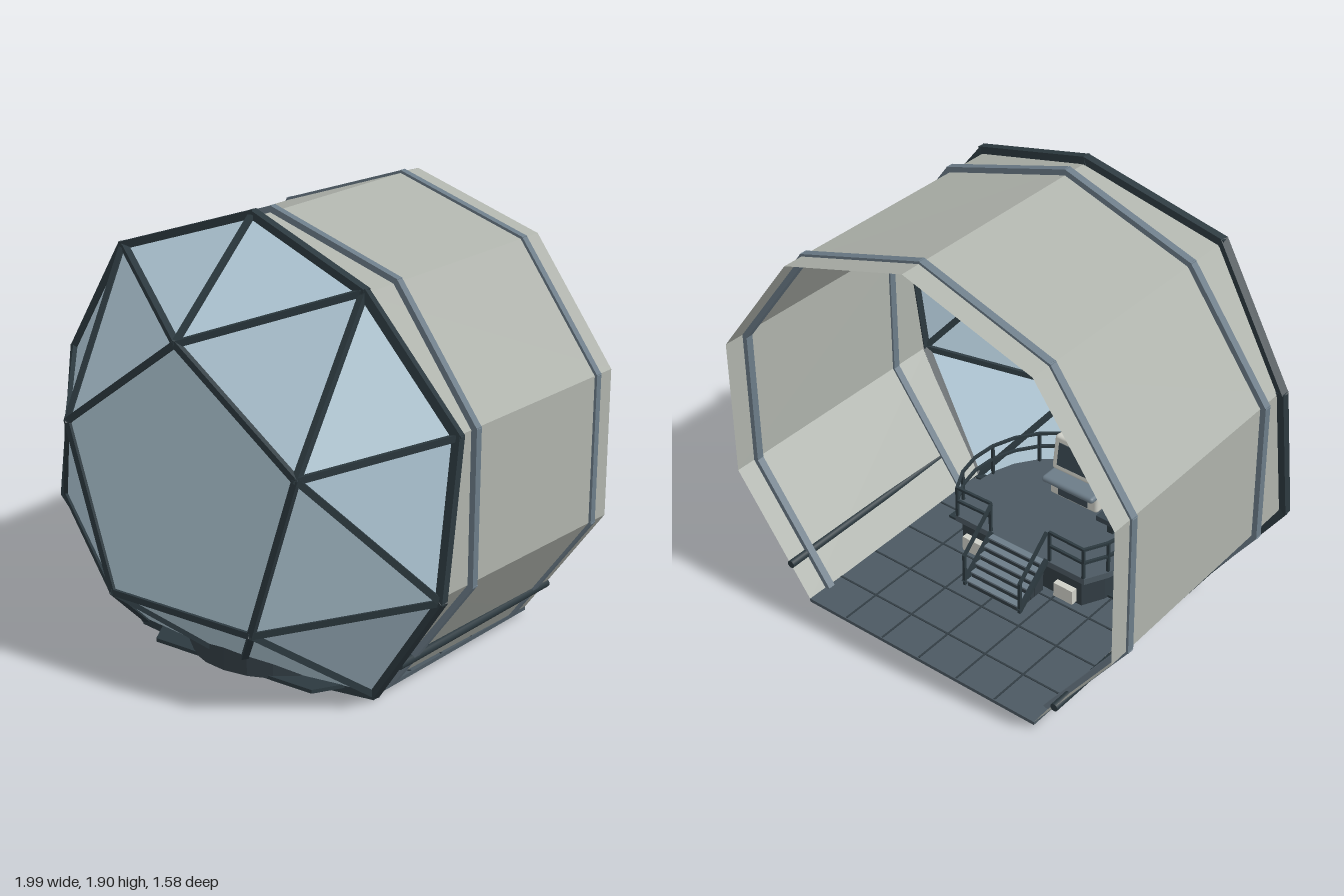
import * as THREE from 'three';
import { RoundedBoxGeometry } from 'three/addons/geometries/RoundedBoxGeometry.js';

const mat = (name, color, side = THREE.FrontSide) => {
  const m = new THREE.MeshStandardMaterial({ color, side });
  m.name = name;
  return m;
};

const CY = 0.86; // height of the decagon's centre
const V = (x, y, z) => new THREE.Vector3(x, y, z);
const polar = (deg, r, z) => {
  const a = THREE.MathUtils.degToRad(deg);
  return V(r * Math.cos(a), CY + r * Math.sin(a), z);
};

export function createModel() {
  const M = {
    glass: mat('pale blue glass', 0xb2cad8, THREE.DoubleSide),
    shell: mat('warm grey hull', 0xaeb2ab, THREE.DoubleSide),
    frame: mat('dark frame', 0x2c393f),
    ring: mat('steel blue rib', 0x6c7c88),
    floor: mat('slate floor', 0x4c5962),
    seam: mat('floor seam', 0x323d44),
    console: mat('off white console', 0xcfd0c8),
    screen: mat('dark screen', 0x3a4851),
  };
  const root = new THREE.Group();

  const group = (name) => {
    const g = new THREE.Group();
    g.name = name;
    root.add(g);
    return g;
  };
  const add = (parent, name, geo, material) => {
    const m = new THREE.Mesh(geo, material);
    m.name = name;
    parent.add(m);
    return m;
  };
  const box = (parent, name, material, w, h, d, x, y, z) => {
    const m = add(parent, name, new THREE.BoxGeometry(w, h, d), material);
    m.position.set(x, y, z);
    return m;
  };
  // square bar running from a to b
  const bar = (parent, name, material, a, b, w) => {
    const m = add(parent, name, new THREE.BoxGeometry(w, w, a.distanceTo(b) + w * 0.5), material);
    m.position.copy(a).lerp(b, 0.5);
    m.lookAt(b);
    return m;
  };
  const facets = (parent, name, tris, material) => {
    const geo = new THREE.BufferGeometry().setFromPoints(tris.flat());
    geo.computeVertexNormals();
    return add(parent, name, geo, material);
  };
  // horizontal slab from plan outline [x, z], between two heights
  const slab = (parent, name, material, pts, y0, y1) => {
    const shape = new THREE.Shape(pts.map(([x, z]) => new THREE.Vector2(x, -z)));
    const geo = new THREE.ExtrudeGeometry(shape, { depth: y1 - y0, bevelEnabled: false });
    geo.rotateX(-Math.PI / 2).translate(0, y0, 0);
    return add(parent, name, geo, material);
  };

  // zigzag rim of the window: ten corners, the lowest flattened to floor level
  const rim = [];
  for (let i = 0; i < 10; i++) rim.push(polar(90 - i * 36, 1.02, i % 2 ? 0.4 : 0.31));
  rim[5].set(0, 0.022, 0.4);
  rim[4].y = rim[6].y = 0.025;
  const pent = [];
  for (let i = 0; i < 5; i++) pent.push(polar(90 - i * 72, 0.605, 0.775));

  // faceted window
  const panes = [];
  const mullions = group('mullions');
  for (let i = 0; i < 5; i++) {
    const p = pent[i], q = pent[(i + 1) % 5];
    const before = rim[(2 * i + 9) % 10], at = rim[2 * i], after = rim[2 * i + 1];
    panes.push([p, before, at], [p, at, after], [p, after, q]);
    if (i > 0 && i < 4) panes.push([pent[0], q, p]);
    bar(mullions, 'pentagonBar', M.frame, p, q, 0.027);
    for (const r of [before, at, after]) bar(mullions, 'windowBar', M.frame, p, r, 0.027);
  }
  facets(root, 'windowGlass', panes, M.glass);
  const rimGroup = group('windowRim');
  rim.forEach((p, i) => bar(rimGroup, 'rimBar', M.frame, p, rim[(i + 1) % 10], 0.036));

  // hull panels, open at the back
  const hull = [];
  const backPt = (i) => polar(90 - i * 36, 1.025, -0.79);
  const frontPt = (i) => polar(90 - i * 36, 1.006, i % 2 ? 0.4 : 0.31);
  for (let i = -4; i < 4; i++) {
    const a = frontPt(i), b = frontPt(i + 1), c = backPt(i + 1), d = backPt(i);
    hull.push([a, c, b], [a, d, c]);
  }
  facets(root, 'hullPanels', hull, M.shell);

  // ribs around the hull
  for (const z of [0.19, -0.68]) {
    const rib = group('hullRib');
    for (let i = -4; i < 4; i++) {
      bar(rib, 'ribBar', M.ring, polar(90 - i * 36, 1.017, z), polar(54 - i * 36, 1.017, z), 0.033);
    }
  }

  // pipes low on both side walls
  for (const s of [-1, 1]) {
    const pipe = add(root, 'wallPipe', new THREE.CylinderGeometry(0.018, 0.018, 1.08, 10), M.frame);
    pipe.rotation.x = Math.PI / 2;
    pipe.position.set(s * 0.705, 0.17, -0.25);
  }

  // floor, front sill plate and panel seams
  slab(root, 'floor', M.floor, [[-0.605, 0.31], [0, 0.4], [0.605, 0.31], [0.605, -0.79], [-0.605, -0.79]], 0.018, 0.034);
  slab(root, 'frontSill', M.frame, [[-0.41, 0.47], [0.41, 0.47], [0.5, 0.31], [0.5, 0], [-0.5, 0], [-0.5, 0.31]], 0.03, 0.046);
  const seams = group('floorSeams');
  for (const x of [-0.4, -0.2, 0, 0.2, 0.4]) box(seams, 'seam', M.seam, 0.008, 0.004, 1.05, x, 0.035, -0.26);
  for (const z of [-0.6, -0.38, -0.16, 0.06]) box(seams, 'seam', M.seam, 1.2, 0.004, 0.008, 0, 0.035, z);

  // raised deck: round in front, flat at the stairs
  const DZ = 0.12, BACK = -0.13, DECK = 0.2;
  const start = THREE.MathUtils.radToDeg(Math.asin((BACK - DZ) / 0.43));
  const arc = (r) => {
    const pts = [];
    for (let i = 0; i <= 16; i++) {
      const a = THREE.MathUtils.degToRad(start + (180 - 2 * start) * i / 16);
      pts.push([r * Math.cos(a), DZ + r * Math.sin(a)]);
    }
    return pts;
  };
  const deck = group('deck');
  slab(deck, 'deckTop', M.floor, arc(0.43).reverse(), DECK - 0.03, DECK);
  slab(deck, 'deckBase', M.seam, arc(0.4).reverse(), 0.034, DECK - 0.03);
  for (const s of [-1, 1]) box(deck, 'deckLocker', M.console, 0.1, 0.07, 0.03, s * 0.25, 0.08, BACK);

  // railing round the deck and back to the stairs
  const railing = group('railing');
  const line = [[0.16, BACK + 0.01], ...arc(0.42), [-0.16, BACK + 0.01]];
  line.forEach(([x, z], i) => {
    if (i % 2 === 0 || i === 1 || i === line.length - 2) box(railing, 'post', M.frame, 0.012, 0.15, 0.012, x, DECK + 0.075, z);
    if (i === 0) return;
    const [px, pz] = line[i - 1];
    for (const h of [0.08, 0.15]) bar(railing, 'rail', M.frame, V(px, DECK + h, pz), V(x, DECK + h, z), 0.012);
  });

  // stairs with sloping handrails
  const stairs = group('stairs');
  const N = 6;
  for (let i = 0; i < N; i++) {
    const h = (DECK - 0.034) * (i + 1) / N, z = -0.31 + 0.03 * (i + 0.5);
    box(stairs, 'riser', M.seam, 0.27, h - 0.008, 0.028, 0, 0.034 + (h - 0.008) / 2, z);
    box(stairs, 'tread', M.ring, 0.28, 0.008, 0.032, 0, 0.03 + h, z);
  }
  for (const s of [-1, 1]) {
    const x = s * 0.15;
    bar(stairs, 'stringer', M.frame, V(x, 0.05, -0.31), V(x, DECK, BACK), 0.02);
    bar(stairs, 'handrail', M.frame, V(x, 0.19, -0.31), V(x, DECK + 0.15, BACK), 0.013);
    box(stairs, 'newelPost', M.frame, 0.013, 0.16, 0.013, x, 0.112, -0.31);
  }

  // control console with tilted display, facing the stairs
  const desk = group('console');
  const rounded = (name, material, w, h, d, x, y, z) => {
    const m = add(desk, name, new RoundedBoxGeometry(w, h, d, 2, 0.015), material);
    m.position.set(x, y, z);
    return m;
  };
  rounded('consoleBase', M.console, 0.26, 0.09, 0.1, 0, DECK + 0.045, 0.3);
  box(desk, 'kneeSlot', M.screen, 0.16, 0.05, 0.006, 0, DECK + 0.04, 0.249);
  rounded('keyboardShelf', M.ring, 0.28, 0.03, 0.14, 0, DECK + 0.1, 0.27);
  const monitor = rounded('monitor', M.console, 0.27, 0.17, 0.08, 0, DECK + 0.2, 0.32);
  monitor.rotation.x = 0.15;
  const display = box(monitor, 'display', M.screen, 0.21, 0.11, 0.006, 0, 0, -0.041);
  display.name = 'display';

  // seat beside the console
  const seat = group('seat');
  box(seat, 'pedestal', M.frame, 0.03, 0.07, 0.03, -0.25, DECK + 0.035, 0.2);
  box(seat, 'cushion', M.screen, 0.1, 0.025, 0.1, -0.25, DECK + 0.08, 0.2);
  box(seat, 'backrest', M.screen, 0.02, 0.12, 0.1, -0.3, DECK + 0.14, 0.2);

  return root;
}
